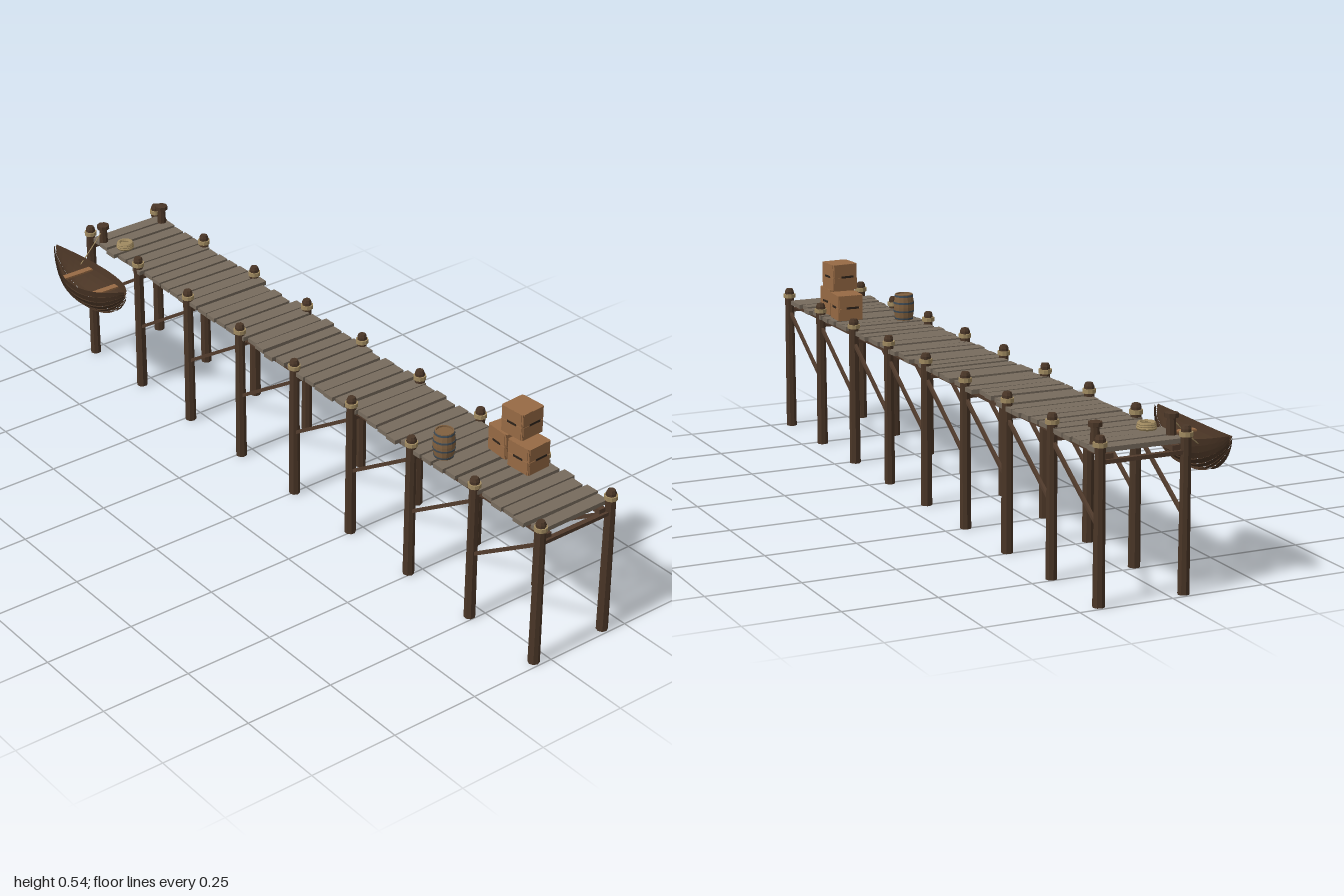
import * as THREE from 'three';

const mat = (name, color, side = THREE.FrontSide) => {
  const m = new THREE.MeshStandardMaterial({ color, flatShading: true, side });
  m.name = name;
  return m;
};

export function createModel() {
  const root = new THREE.Group();
  root.name = 'pier';
  const M = {
    post: mat('dark timber', 0x4a3627),
    plank: mat('weathered plank', 0x776b5d),
    beam: mat('beam timber', 0x523c2d),
    rope: mat('rope', 0xa08a60),
    crate: mat('crate wood', 0x976a44),
    barrel: mat('barrel wood', 0x80603f),
    iron: mat('iron', 0x3e4a54),
    slot: mat('dark slot', 0x2e231a),
    hull: mat('boat hull', 0x4a3525, THREE.DoubleSide),
  };
  let seed = 7;
  const rnd = (a, b) => {
    seed = (seed * 16807) % 2147483647;
    return a + (b - a) * (seed / 2147483647);
  };
  const add = (parent, name, geo, material, x = 0, y = 0, z = 0) => {
    const m = new THREE.Mesh(geo, material);
    m.name = name;
    m.position.set(x, y, z);
    parent.add(m);
    return m;
  };
  const group = (name, x = 0, y = 0, z = 0) => {
    const g = new THREE.Group();
    g.name = name;
    g.position.set(x, y, z);
    root.add(g);
    return g;
  };
  const box = (w, h, d) => new THREE.BoxGeometry(w, h, d);
  const lathe = (pts, n) => new THREE.LatheGeometry(pts.map(p => new THREE.Vector2(...p)), n);

  // Posts with rope collars, cross beams and diagonal braces
  const LEFT = -0.04, RIGHT = 0.19, MID = 0.075, STEP = 0.245;
  const postGeo = lathe([[0, 0], [0.0155, 0], [0.0135, 0.402], [0.0135, 0.409], [0.01, 0.417], [0, 0.417]], 8);
  const collarGeo = new THREE.CylinderGeometry(0.0175, 0.0175, 0.011, 10);
  for (let i = 0; i < 9; i++) {
    const z = 0.98 - i * STEP;
    for (const x of [LEFT, RIGHT]) {
      const p = add(root, 'post', postGeo, M.post, x, 0, z);
      p.rotation.y = rnd(0, 1);
      add(root, 'ropeCollar', collarGeo, M.rope, x, 0.396, z);
      if (i < 8) {
        const drop = 0.16;
        const b = add(root, 'brace', box(0.008, 0.009, Math.hypot(STEP, drop)), M.beam,
          x, 0.35 - drop / 2, z - STEP / 2);
        b.rotation.x = -Math.atan2(drop, STEP);
      }
    }
    add(root, 'crossBeam', box(RIGHT - LEFT, 0.01, 0.014), M.beam, MID, 0.353, z);
  }

  // Long stringers under the deck
  for (const x of [LEFT + 0.026, RIGHT - 0.026])
    add(root, 'stringer', box(0.02, 0.014, 1.96), M.beam, x, 0.364, 0);

  // Uneven deck planks
  const deck = group('deck');
  const count = 44, pitch = 1.95 / count;
  for (let i = 0; i < count; i++) {
    const p = add(deck, 'plank', box(rnd(0.222, 0.246), 0.012, pitch - rnd(0.005, 0.01)), M.plank,
      MID + rnd(-0.005, 0.005), 0.377 + rnd(-0.0015, 0.002), -0.975 + (i + 0.5) * pitch);
    p.rotation.set(rnd(-0.02, 0.02), rnd(-0.012, 0.012), rnd(-0.004, 0.004));
  }

  // Mooring bollards
  const bollardGeo = lathe([[0, 0], [0.013, 0], [0.011, 0.042], [0.018, 0.044], [0.018, 0.055], [0, 0.057]], 8);
  for (const x of [-0.028, 0.177]) add(root, 'bollard', bollardGeo, M.post, x, 0.383, -0.93);

  // Coiled rope
  const coil = group('ropeCoil', 0, 0.386, -0.86);
  for (let i = 0; i < 3; i++) {
    const t = add(coil, 'coilTurn', new THREE.TorusGeometry(0.021 - i * 0.001, 0.005, 6, 16), M.rope, 0, 0.003 + i * 0.005, 0);
    t.rotation.x = Math.PI / 2;
  }
  add(coil, 'coilCore', new THREE.CylinderGeometry(0.019, 0.019, 0.01, 12), M.rope, 0, 0.006, 0);

  // Barrel with iron hoops
  const barrel = group('barrel', 0, 0.384, 0.57);
  const rAt = y => 0.025 + 0.0045 * Math.sin(Math.PI * y / 0.075);
  const prof = [[0, 0]];
  for (let i = 0; i <= 6; i++) prof.push([rAt(i * 0.0125), i * 0.0125]);
  prof.push([0.022, 0.075], [0.022, 0.071], [0, 0.071]);
  add(barrel, 'staves', lathe(prof, 14), M.barrel);
  for (const y of [0.005, 0.026, 0.05, 0.07]) {
    const h = 0.0025;
    add(barrel, 'hoop', lathe([[rAt(y) - 0.001, y - h], [rAt(y - h) + 0.001, y - h],
      [rAt(y + h) + 0.001, y + h], [rAt(y) - 0.001, y + h]], 14), M.iron);
  }

  // Stacked crates with corner boards and dark hand slots
  const crate = (x, y, z, turn, s) => {
    const g = group('crate', x, y + s / 2, z);
    g.rotation.y = turn;
    add(g, 'crateBody', box(s - 0.003, s - 0.002, s - 0.003), M.crate);
    for (const k of [-1, 1]) {
      add(g, 'crateBoard', box(s, s * 0.47, s * 0.86), M.crate, 0, k * s * 0.25, 0);
      add(g, 'crateEnd', box(s * 0.9, s * 0.47, s), M.crate, 0, k * s * 0.25, 0);
      add(g, 'handSlot', box(s * 0.5, 0.006, 0.002), M.slot, s * 0.08 * k, 0, k * s / 2);
      add(g, 'sideSlot', box(0.002, 0.006, s * 0.4), M.slot, k * s / 2, 0, 0);
    }
  };
  crate(0.137, 0.385, 0.735, 0.06, 0.077);
  crate(0.145, 0.385, 0.648, -0.06, 0.074);
  crate(0.145, 0.465, 0.697, 0.07, 0.076);

  // Rowing boat: overlapping strakes swept along the hull
  const boat = group('boat', -0.15, 0, -0.82);
  const hullPoint = (t, v, side, lap) => {
    const a = v * Math.PI / 2;
    const keel = 0.27 + 0.085 * Math.abs(t) ** 3, sheer = 0.35 + 0.032 * t * t;
    const w = 0.058 * (1 - t * t) + 0.001;
    return [side * (w + lap) * Math.sin(a), keel + (sheer - keel) * (1 - Math.cos(a)) - lap * Math.cos(a), t * 0.18];
  };
  const strakes = 7, seg = 20;
  for (const side of [-1, 1]) {
    for (let s = 0; s < strakes; s++) {
      const pos = [], idx = [];
      for (let i = 0; i <= seg; i++) {
        const t = -1 + 2 * i / seg;
        pos.push(...hullPoint(t, s / strakes, side, 0));
        pos.push(...hullPoint(t, (s + 1.1) / strakes, side, 0.004));
        if (i < seg) {
          const a = i * 2;
          if (side > 0) idx.push(a, a + 1, a + 2, a + 1, a + 3, a + 2);
          else idx.push(a, a + 2, a + 1, a + 1, a + 2, a + 3);
        }
      }
      const g = new THREE.BufferGeometry();
      g.setAttribute('position', new THREE.Float32BufferAttribute(pos, 3));
      g.setIndex(idx);
      g.computeVertexNormals();
      add(boat, 'strake', g, M.hull);
    }
  }
  for (const z of [-0.066, 0.066]) add(boat, 'thwart', box(0.092, 0.005, 0.02), M.crate, 0, 0.338, z);

  // Mooring line from the bollard to the boat
  const line = new THREE.QuadraticBezierCurve3(new THREE.Vector3(-0.028, 0.425, -0.93),
    new THREE.Vector3(-0.072, 0.378, -0.926), new THREE.Vector3(-0.118, 0.343, -0.918));
  add(root, 'mooringLine', new THREE.TubeGeometry(line, 10, 0.0016, 5), M.rope);

  return root;
}
